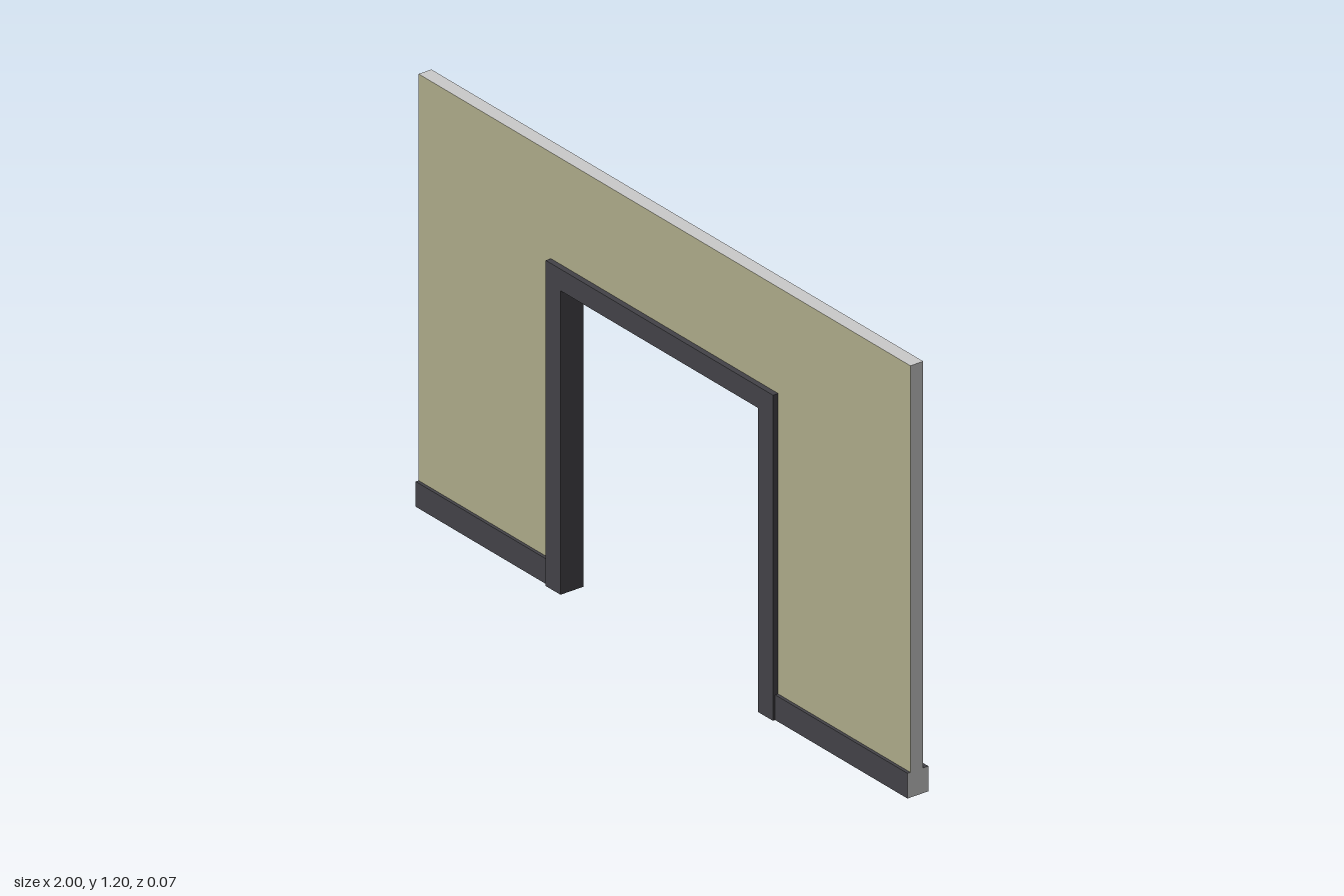
import * as THREE from 'three';

const HALF = 1, HEIGHT = 1.2, WALL_Z = 0.02;
const OUTER_X = 0.462, OUTER_Y = 0.905; // outside of the door frame
const INNER_X = 0.402, INNER_Y = 0.845; // clear opening
const FRAME_Z = 0.036, SKIRTING_H = 0.07;

// Upside-down U outline standing on y = 0
function archShape(outX, outY, inX, inY) {
  return new THREE.Shape([
    [-outX, 0], [-inX, 0], [-inX, inY], [inX, inY],
    [inX, 0], [outX, 0], [outX, outY], [-outX, outY],
  ].map(([x, y]) => new THREE.Vector2(x, y)));
}

function extrudeCentred(shape, halfDepth) {
  return new THREE.ExtrudeGeometry(shape, { depth: halfDepth * 2, bevelEnabled: false })
    .translate(0, 0, -halfDepth);
}

export function createModel() {
  const mat = (name, color) => {
    const m = new THREE.MeshStandardMaterial({ color });
    m.name = name;
    return m;
  };
  const paint = mat('olive paint', 0xacaa89);
  const trim = mat('dark trim', 0x434247);
  const core = mat('pale cut edge', 0xcacaca);

  const model = new THREE.Group();
  model.name = 'doorwayWall';
  const add = (name, geometry, material) => {
    const mesh = new THREE.Mesh(geometry, material);
    mesh.name = name;
    model.add(mesh);
    return mesh;
  };

  // Wall: painted faces, pale edges
  add('wall', extrudeCentred(archShape(HALF, HEIGHT, OUTER_X, OUTER_Y), WALL_Z), [paint, core]);

  // Door frame lining the opening
  add('doorFrame', extrudeCentred(archShape(OUTER_X, OUTER_Y, INNER_X, INNER_Y), FRAME_Z), trim);

  // Skirting boards; the back ones are flush with the frame
  const length = HALF - OUTER_X;
  for (const [side, face, zOut] of [['front', 1, 0.029], ['back', -1, FRAME_Z]]) {
    const depth = zOut - WALL_Z;
    for (const [hand, sx] of [['Left', 1], ['Right', -1]]) {
      const board = add(side + hand + 'Skirting',
        new THREE.BoxGeometry(length, SKIRTING_H, depth),
        [core, core, trim, core, trim, trim]);
      board.position.set(sx * (OUTER_X + length / 2), SKIRTING_H / 2, face * (WALL_Z + depth / 2));
    }
  }
  return model;
}
